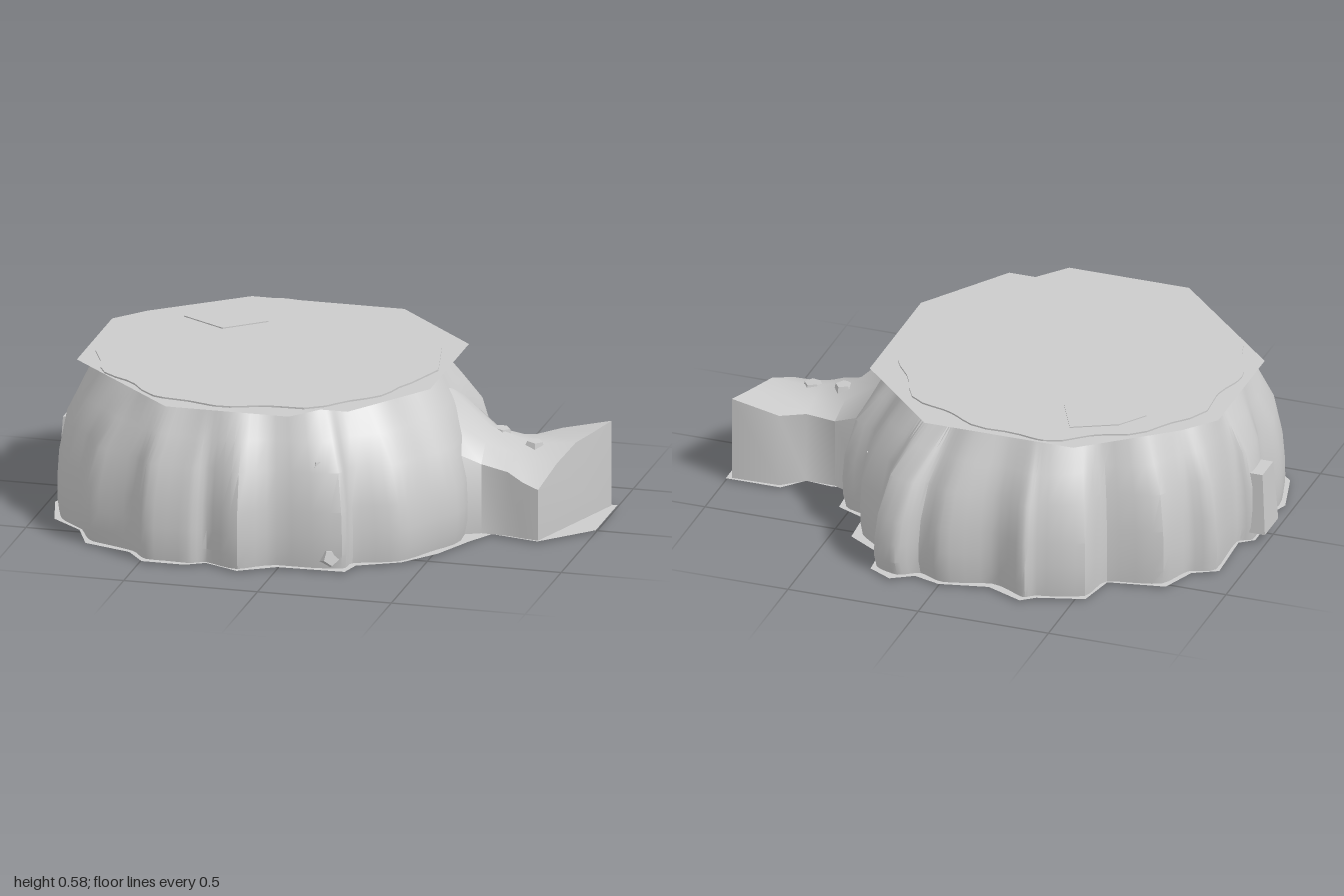
import * as THREE from 'three';
import { toCreasedNormals } from 'three/addons/utils/BufferGeometryUtils.js';

const material = new THREE.MeshStandardMaterial({ color: 0xcccccc, side: THREE.DoubleSide });
const CX = -0.22, CZ = 0.01, TOP = 0.57;

// footprint of the mound as [x, z], running from +x towards +z
const footprint = [
  [0.59, 0.27], [0.52, 0.43], [0.42, 0.56], [0.27, 0.64], [0.25, 0.72], [0, 0.73],
  [-0.13, 0.81], [-0.26, 0.75], [-0.33, 0.79], [-0.49, 0.79], [-0.56, 0.70], [-0.74, 0.64],
  [-0.80, 0.50], [-0.92, 0.40], [-0.97, 0.21], [-0.93, 0.10], [-0.96, 0.04], [-0.96, -0.08],
  [-0.91, -0.12], [-0.92, -0.35], [-0.83, -0.40], [-0.78, -0.53], [-0.57, -0.57], [-0.54, -0.72],
  [-0.37, -0.77], [-0.32, -0.81], [-0.18, -0.75], [0, -0.79], [0.10, -0.76], [0.18, -0.81],
  [0.27, -0.76], [0.28, -0.64], [0.42, -0.55], [0.43, -0.40], [0.54, -0.35], [0.55, -0.20],
];
const spurPrint = [[0.62, -0.21], [0.72, -0.20], [0.79, -0.28], [1, -0.28], [1, 0.02], [0.83, 0.20], [0.65, 0.16]];

// skin a list of closed rings, each an array of [x, y, z]
function loft(rings) {
  const n = rings[0].length, index = [];
  for (let i = 0; i < rings.length - 1; i++) {
    for (let j = 0; j < n; j++) {
      const k = (j + 1) % n, a = i * n + j, b = i * n + k;
      index.push(a, a + n, b, b, a + n, b + n);
    }
  }
  const g = new THREE.BufferGeometry();
  g.setAttribute('position', new THREE.Float32BufferAttribute(rings.flat(2), 3));
  g.setIndex(index);
  return g;
}

const toShape = (points) => new THREE.Shape(points.map(([x, z]) => new THREE.Vector2(x, -z)));

// flat horizontal sheet from [x, z] points
const sheet = (points, y) => new THREE.ShapeGeometry(toShape(points)).rotateX(-Math.PI / 2).translate(0, y, 0);

// thin horizontal slab from [x, z] points
const slab = (points, y, depth) => new THREE.ExtrudeGeometry(toShape(points), { depth, bevelEnabled: false })
  .rotateX(-Math.PI / 2).translate(0, y, 0);

export function createModel() {
  const group = new THREE.Group();
  const add = (name, geometry) => {
    const mesh = new THREE.Mesh(geometry, material);
    mesh.name = name;
    group.add(mesh);
    return mesh;
  };

  // fluted side wall, fading from the ragged footprint to a nearly round rim
  const curve = new THREE.CatmullRomCurve3(
    footprint.map(([x, z]) => new THREE.Vector3(x, 0, z)), true, 'catmullrom', 0.35);
  const outline = curve.getPoints(footprint.length * 4).slice(0, -1);
  const angle = (p) => Math.atan2(p.z - CZ, p.x - CX);
  const rim = (p) => {
    const a = angle(p), r = 0.62 + 0.014 * Math.sin(a * 13) + 0.01 * Math.sin(a * 7 + 1);
    return [CX + r * Math.cos(a), CZ + r * Math.sin(a)];
  };
  const levels = [[0.008, 0.07], [0.06, 0.02], [0.13, 0.02], [0.22, 0.06], [0.36, 0.25], [0.46, 0.6], [TOP - 0.006, 1]];
  const rings = levels.map(([y, t]) => outline.map((p) => {
    const [x, z] = rim(p), a = angle(p);
    // irregular inset that leans with height so the flutes are not plumb
    const s = t + (1 - t) * 0.07 * (1 + Math.sin(a * 11 + y * 3) * Math.cos(a * 4 - y * 2));
    return [THREE.MathUtils.lerp(p.x, x, s), y, THREE.MathUtils.lerp(p.z, z, s)];
  }));
  add('rockWall', toCreasedNormals(loft(rings), 0.6));

  // wavy top surface rising just above a thin faceted plate
  add('topSurface', slab(outline.filter((p, i) => i % 2 === 0).map(rim), TOP - 0.01, 0.012));
  add('topPlate', sheet([
    [-0.88, 0.24], [-0.88, -0.25], [-0.78, -0.37], [-0.46, -0.63], [0.11, -0.63], [0.44, -0.30],
    [0.44, 0.24], [0.22, 0.57], [0.12, 0.57], [0.03, 0.68], [-0.43, 0.68],
  ], TOP - 0.004));
  add('topPatch', slab([[-0.40, -0.50], [-0.32, -0.34], [-0.46, -0.22], [-0.63, -0.32], [-0.56, -0.42]], TOP - 0.005, 0.011));

  // ragged plate underneath
  add('basePlate', sheet([...footprint, ...spurPrint], 0.008));

  // spur: [front x, z, height], [ridge x, z, height], [back x, z, height]
  const stations = [
    [[0.28, 0.34, 0.48], [0.36, 0, 0.555], [0.28, -0.36, 0.48]],
    [[0.45, 0.24, 0.36], [0.48, -0.02, 0.46], [0.45, -0.28, 0.36]],
    [[0.61, 0.16, 0.27], [0.59, -0.03, 0.355], [0.61, -0.20, 0.27]],
    [[0.71, 0.165, 0.25], [0.72, -0.03, 0.315], [0.72, -0.20, 0.28]],
    [[0.77, 0.18, 0.22], [0.79, -0.03, 0.305], [0.80, -0.265, 0.29]],
    [[0.83, 0.19, 0.20], [0.91, -0.04, 0.315], [0.98, -0.27, 0.33]],
  ];
  const spur = stations.map(([f, c, b]) => [
    [f[0], 0.008, f[1]], [f[0], f[2], f[1]],
    [(f[0] + c[0]) / 2, f[2] * 0.4 + c[2] * 0.6, (f[1] + c[1]) / 2],
    [c[0], c[2], c[1]],
    [(b[0] + c[0]) / 2, b[2] * 0.4 + c[2] * 0.6, (b[1] + c[1]) / 2],
    [b[0], b[2], b[1]], [b[0], 0.008, b[1]],
  ]);
  spur.push(spur[0].map(() => [0.915, 0.14, -0.04])); // end face
  add('sideSpur', toCreasedNormals(loft(spur), 1));

  // blocky knob on the opposite side
  const knob = add('sideKnob', toCreasedNormals(
    new THREE.CylinderGeometry(0.08, 0.1, 0.235, 4).rotateY(Math.PI / 4), 0.6));
  knob.position.set(-0.93, 0.158, -0.02);

  // five-sided stone chips set into the wall and the spur top
  const chips = [
    [0.14, 0.37, 0.65], [0.19, 0.05, 0.695], [-0.51, 0.30, 0.65], [0.43, 0.32, 0.36],
    [0.63, 0.33, -0.05], [0.76, 0.30, -0.02], [-0.25, 0.40, -0.65], [0.40, 0.25, -0.40],
  ];
  chips.forEach(([x, y, z]) => {
    const chip = add('stoneChip', toCreasedNormals(
      new THREE.CylinderGeometry(0.03, 0.04, 0.03, 5).rotateX(Math.PI / 2), 0.3));
    chip.position.set(x, y, z);
    if (x > 0.6) chip.lookAt(x + 0.1, y + 1, z);
    else chip.lookAt(2 * x - CX, y + 0.15, 2 * z - CZ);
  });

  // pebble patches under the base
  [[0.22, 0.42], [-0.64, 0.52], [-0.83, 0.08], [-0.52, -0.32], [-0.41, -0.5], [0.57, 0.02]].forEach(([x, z], i) => {
    const patch = add('basePatch', new THREE.CircleGeometry(0.065, 6).rotateX(Math.PI / 2));
    patch.position.set(x, 0, z);
    patch.rotation.y = i;
    patch.scale.z = 0.75;
  });
  return group;
}
